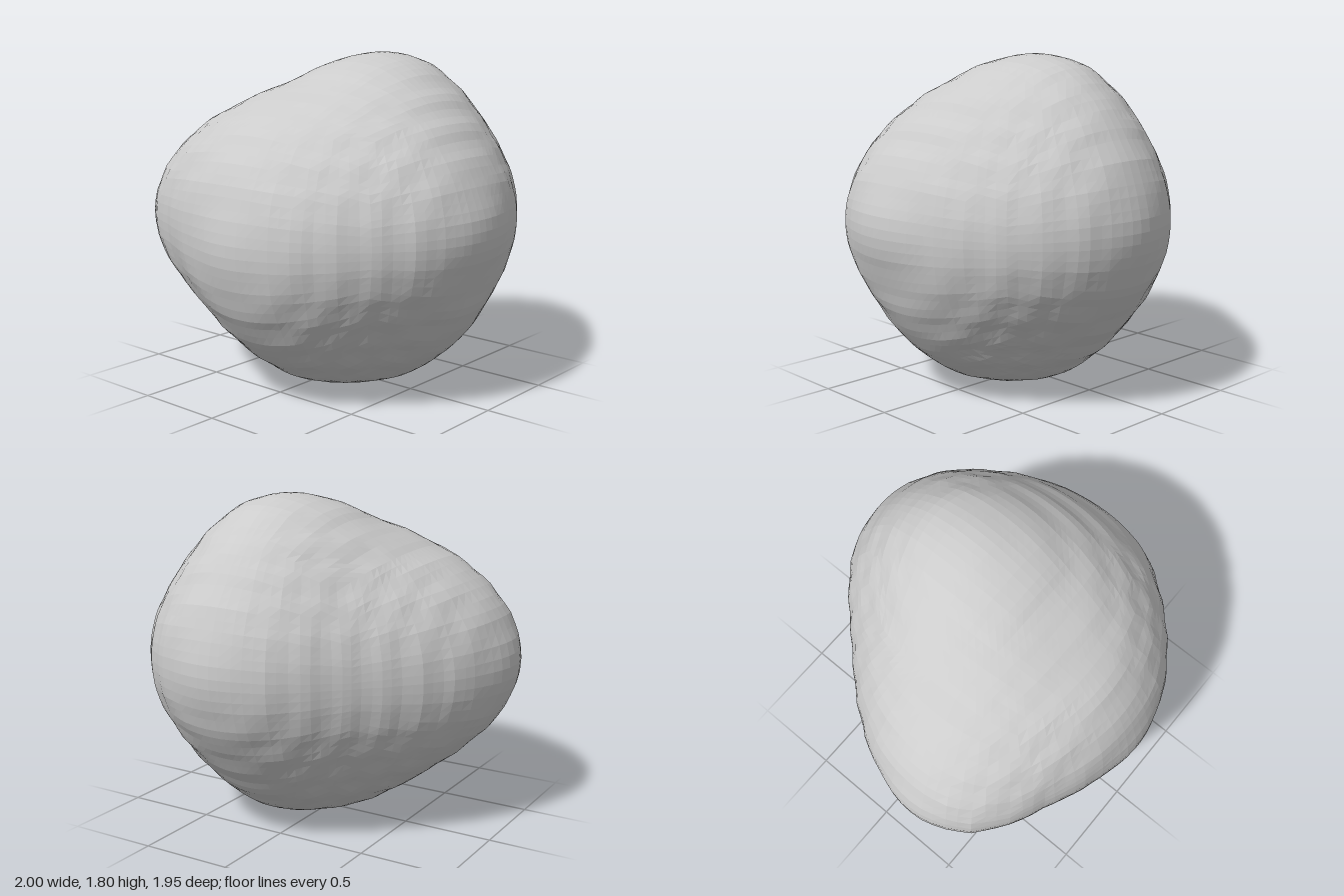
import * as THREE from 'three';

const CENTRE = new THREE.Vector3(0.1, 0.9, 0);

// Landmarks on the boulder's skin: three closed rings around the axes.
const RINGS = [
  // ring seen from the front
  [0.12, 1.8, -0.2], [0.59, 1.58, -0.12], [0.91, 1.2, 0], [1, 0.95, 0], [0.93, 0.65, 0],
  [0.83, 0.41, 0], [0.49, 0.09, 0.02], [0.13, 0, 0.05], [-0.29, 0.1, 0.1], [-0.61, 0.32, 0.2],
  [-0.89, 0.58, 0.28], [-1, 0.89, 0.29], [-0.82, 1.29, 0.28], [-0.42, 1.56, 0.05],
  // ring seen from the side
  [0.07, 0.84, 0.98], [0.05, 1.18, 0.9], [0.03, 1.43, 0.72], [0.05, 1.58, 0.41],
  [0.12, 1.73, -0.5], [0.14, 1.5, -0.75], [0.14, 1.21, -0.92], [0.14, 0.95, -0.98],
  [0.14, 0.44, -0.76], [0.13, 0.1, -0.41], [0.1, 0.07, 0.4], [0.08, 0.29, 0.72], [0.07, 0.55, 0.9],
  // ring seen from above
  [0.6, 0.92, -0.79], [0.84, 0.95, -0.48], [0.94, 0.93, 0.35], [0.81, 0.92, 0.55],
  [0.41, 0.87, 0.89], [-0.26, 0.87, 0.91], [-0.58, 0.87, 0.78], [-0.88, 0.87, 0.59],
  [-0.92, 0.88, -0.05], [-0.81, 0.9, -0.24], [-0.45, 0.9, -0.64], [-0.18, 0.93, -0.88],
].map((p) => new THREE.Vector3(...p).sub(CENTRE));

// Flatter areas between the lumps: direction signs and radius.
const FLATS = [
  [1, 1, 1, 0.84], [1, 1, -1, 0.88], [1, -1, 1, 0.86], [1, -1, -1, 0.85],
  [-1, 1, 1, 0.93], [-1, 1, -1, 0.84], [-1, -1, 1, 0.92], [-1, -1, -1, 0.83],
].map(([x, y, z, r]) => new THREE.Vector3(x, y, z).setLength(r));

const LANDMARKS = [...RINGS, ...FLATS];

const kernel = (a, b) => Math.sqrt(a.distanceToSquared(b) + 0.06);

// Solve a small linear system by elimination with pivoting.
function solve(rows) {
  const n = rows.length;
  for (let c = 0; c < n; c++) {
    let best = c;
    for (let r = c + 1; r < n; r++) if (Math.abs(rows[r][c]) > Math.abs(rows[best][c])) best = r;
    [rows[c], rows[best]] = [rows[best], rows[c]];
    for (let r = 0; r < n; r++) {
      if (r === c) continue;
      const f = rows[r][c] / rows[c][c];
      for (let k = c; k <= n; k++) rows[r][k] -= f * rows[c][k];
    }
  }
  return rows.map((row, i) => row[n] / row[i]);
}

// Smooth radius for every direction, passing close to the landmarks.
function makeRadius() {
  const base = 0.87;
  const dirs = LANDMARKS.map((p) => p.clone().normalize());
  const weights = solve(dirs.map((a, i) =>
    [...dirs.map((b) => kernel(a, b) + (a === b ? -0.01 : 0)), LANDMARKS[i].length() - base]));
  return (d) => dirs.reduce((sum, a, i) => sum + weights[i] * kernel(a, d), base);
}

// Faint stepping along each axis, giving the terraced rings.
const terrace = (v) => v + 0.0035 * Math.sin((v * 2 * Math.PI) / 0.14);

export function createModel() {
  const group = new THREE.Group();
  group.name = 'boulder';

  // A subdivided cube inflated to the lumpy shape keeps the facets four-sided.
  const radius = makeRadius();
  const segments = 26;
  const box = new THREE.BoxGeometry(2, 2, 2, segments, segments, segments);
  const pos = box.attributes.position;
  const p = new THREE.Vector3();
  for (let i = 0; i < pos.count; i++) {
    p.fromBufferAttribute(pos, i);
    p.set(...p.toArray().map((v) => Math.tan((v * Math.PI) / 4))).normalize();
    p.multiplyScalar(radius(p)).add(CENTRE);
    pos.setXYZ(i, terrace(p.x), terrace(p.y), terrace(p.z));
  }

  // Rest it on the ground, centred.
  box.computeBoundingBox();
  const mid = box.boundingBox.getCenter(new THREE.Vector3());
  box.translate(-mid.x, -box.boundingBox.min.y, -mid.z);

  const geometry = box.toNonIndexed();
  geometry.computeVertexNormals();
  const material = new THREE.MeshStandardMaterial({ color: 0xcccccc, flatShading: true });
  const body = new THREE.Mesh(geometry, material);
  body.name = 'boulderBody';
  group.add(body);
  return group;
}
